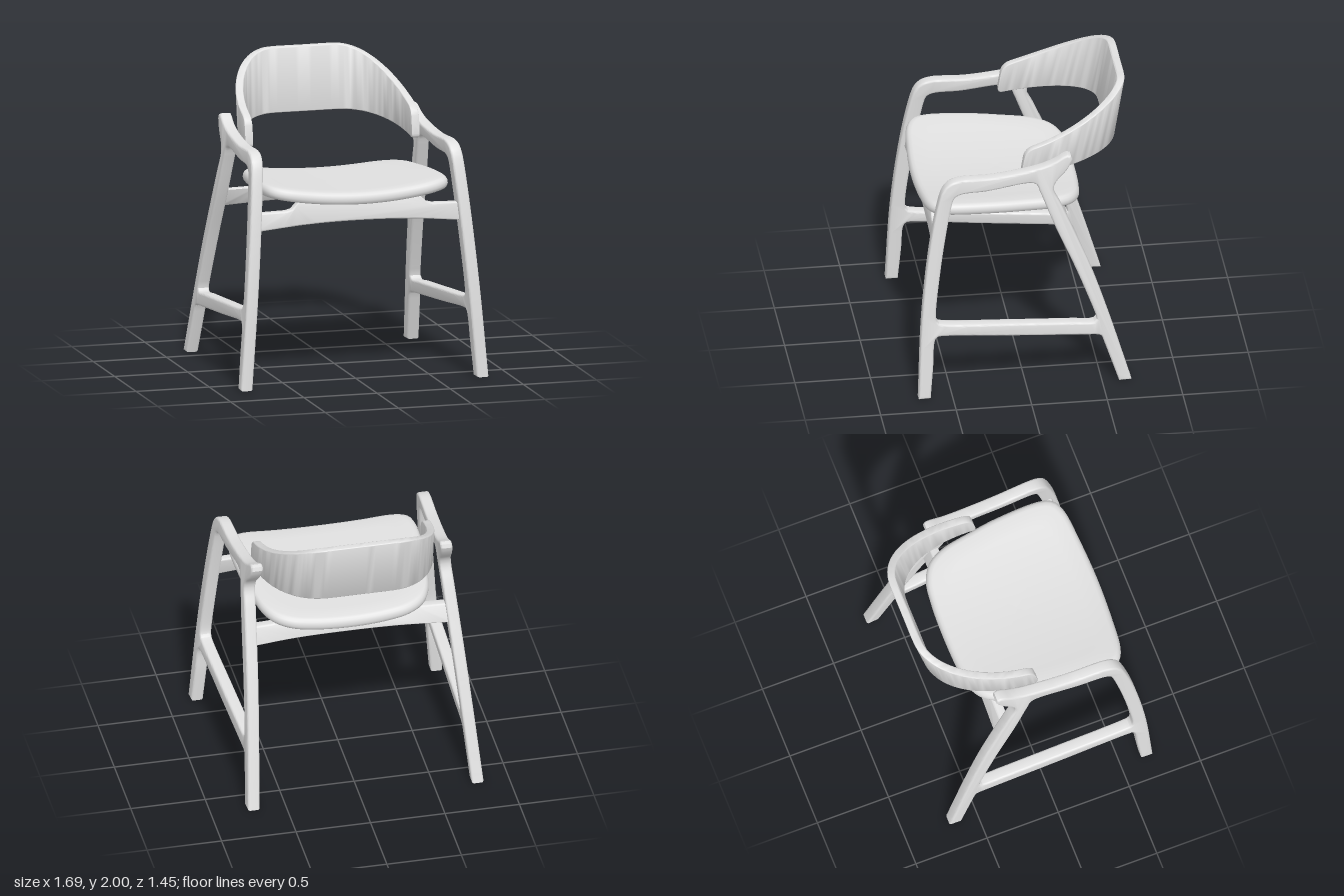
import * as THREE from 'three';
import { toCreasedNormals } from 'three/addons/utils/BufferGeometryUtils.js';

const paleGrey = new THREE.MeshStandardMaterial({ color: 0xe0e0e0 });
paleGrey.name = 'paleGrey';

// smooth run of 2D points through the given ones
function smooth(pts, n, closed = false) {
  const c = new THREE.CatmullRomCurve3(pts.map(([a, b]) => new THREE.Vector3(a, b, 0)), closed, 'centripetal');
  const out = c.getSpacedPoints(n).map(p => new THREE.Vector2(p.x, p.y));
  if (closed) out.pop();
  return out;
}

function part(name, geo, crease = 0.6) {
  const m = new THREE.Mesh(toCreasedNormals(geo, crease), paleGrey);
  m.name = name;
  return m;
}

// skin over a list of closed rings, with both ends capped
function loft(rings) {
  const n = rings[0].length, pos = [], idx = [];
  rings.forEach(r => r.forEach(p => pos.push(p.x, p.y, p.z)));
  for (let i = 0; i < rings.length - 1; i++) for (let j = 0; j < n; j++) {
    const k = (j + 1) % n, a = i * n, b = a + n;
    idx.push(a + j, a + k, b + j, a + k, b + k, b + j);
  }
  [[0, true], [rings.length - 1, false]].forEach(([i, flip]) => {
    const c = new THREE.Vector3();
    rings[i].forEach(p => c.addScaledVector(p, 1 / n));
    const ci = pos.length / 3;
    pos.push(c.x, c.y, c.z);
    for (let j = 0; j < n; j++) {
      const a = i * n + j, b = i * n + (j + 1) % n;
      idx.push(ci, flip ? b : a, flip ? a : b);
    }
  });
  const g = new THREE.BufferGeometry();
  g.setAttribute('position', new THREE.Float32BufferAttribute(pos, 3));
  g.setIndex(idx);
  return g;
}

function extrude(shape, width, bevel) {
  const depth = width - 2 * bevel;
  return new THREE.ExtrudeGeometry(shape, {
    depth, bevelEnabled: true, bevelThickness: bevel, bevelSize: bevel, bevelOffset: -bevel, bevelSegments: 3,
  }).translate(0, 0, -depth / 2);
}

// the leaning planes the two side frames lie in
const frameX = {
  left: (y, z) => 0.76 - 0.08 * y + 0.065 * z,
  right: (y, z) => -0.799 + 0.081 * y - 0.0135 * z,
};

// leg, arm, leg and stretcher in one flat piece, points as [z, y]
function sideFrame(side) {
  const flip = pts => pts.map(([z, y]) => [-z, y]);
  const outer = smooth(flip([[0.725, 0.01], [0.7, 0.545], [0.66, 0.94], [0.61, 1.26], [0.565, 1.45], [0.545, 1.495],
    [0.505, 1.535], [0.44, 1.555], [0.2, 1.553], [-0.1, 1.59], [-0.2, 1.622], [-0.265, 1.658], [-0.3, 1.663],
    [-0.318, 1.64], [-0.312, 1.61], [-0.27, 1.545], [-0.205, 1.475], [-0.192, 1.42], [-0.24, 1.31], [-0.335, 1.085],
    [-0.44, 0.82], [-0.55, 0.49], [-0.695, 0.005]]), 150);
  const under = smooth(flip([[-0.612, 0.005], [-0.51, 0.31], [-0.5, 0.338], [-0.475, 0.349], [-0.4, 0.357], [0.1, 0.404],
    [0.55, 0.448], [0.597, 0.445], [0.615, 0.41], [0.625, 0.25], [0.645, 0.01]]), 80);
  const hole = smooth(flip([[0.603, 0.58], [0.57, 0.915], [0.515, 1.26], [0.485, 1.4], [0.47, 1.435], [0.43, 1.455],
    [0.25, 1.462], [-0.03, 1.49], [-0.075, 1.477], [-0.1, 1.42], [-0.2, 1.155], [-0.335, 0.835], [-0.46, 0.5],
    [-0.47, 0.465], [-0.45, 0.445], [-0.3, 0.456], [0.1, 0.49], [0.55, 0.532], [0.592, 0.545]]), 150, true);
  const shape = new THREE.Shape([...outer, ...under]);
  shape.holes.push(new THREE.Path(hole.reverse()));
  const g = extrude(shape, 0.08, 0.014).rotateY(Math.PI / 2), p = g.attributes.position;
  for (let i = 0; i < p.count; i++) p.setX(i, p.getX(i) + frameX[side](p.getY(i), p.getZ(i)));
  return part(side + 'SideFrame', g);
}

// middle height of the dished seat
const seatMid = (x, z) => 1.22 + 0.037 * (z - 0.1) + 0.06 * (x / 0.6) ** 2;

function seat() {
  const half = [[0.3, 0.652], [0.52, 0.625], [0.598, 0.58], [0.627, 0.5], [0.624, 0.2], [0.6, 0], [0.56, -0.22],
    [0.5, -0.33], [0.4, -0.39], [0.25, -0.412]];
  const mirrored = half.map(([x, z]) => [-x, z]).reverse();
  const outline = smooth([[0, 0.665], ...half, [0, -0.42], ...mirrored], 120, true);
  const profile = [[0.02, -0.04], [0.25, -0.04], [0.5, -0.04], [0.75, -0.04], [0.95, -0.04], [0.978, -0.038],
    [0.992, -0.03], [1, -0.014], [0.998, 0.005], [0.985, 0.022], [0.965, 0.034], [0.93, 0.04], [0.75, 0.04],
    [0.5, 0.04], [0.25, 0.04], [0.02, 0.04]];
  return part('seat', loft(profile.map(([s, h]) => outline.map(p => {
    const x = p.x * s, z = 0.1 + (p.y - 0.1) * s;
    return new THREE.Vector3(x, seatMid(x, z) + h, z);
  }))), 0.8);
}

// arched cross rail with a raised middle that carries the seat, slanted like the legs it joins
function rail(name, z, slant, bottom) {
  const xl = frameX.left(1.11, z), xr = frameX.right(1.11, z);
  const low = smooth([[xr, 1.045], [-0.35, (1.05 + 3 * bottom) / 4], [0, bottom], [0.35, (1.05 + 3 * bottom) / 4], [xl, 1.045]], 30);
  const top = [[xl, 1.165], [0.5, 1.17], [0.46, 1.18], [0.44, 1.2]];
  for (let i = -8; i <= 8; i++) top.push([-i * 0.05, seatMid(i * 0.05, z) - 0.025]);
  top.push([-0.44, 1.2], [-0.46, 1.18], [-0.5, 1.17], [xr, 1.165]);
  const shape = new THREE.Shape([...low, ...top.map(p => new THREE.Vector2(...p))]);
  const g = extrude(shape, 0.06, 0.01), p = g.attributes.position;
  for (let i = 0; i < p.count; i++) p.setZ(i, p.getZ(i) + z + slant * (p.getY(i) - 1.11));
  return part(name, g);
}

// bent band that leans back and grows taller toward the middle
function backrest() {
  const half = [];
  for (let i = 0; i <= 14; i++) {
    const a = i / 14 * Math.PI / 2;
    half.push([0.2 + 0.395 * Math.max(0, Math.cos(a)) ** 0.9, -0.652 * Math.sin(a) ** 0.9]);
  }
  const pts = [...half, [0, -0.652], ...half.map(([x, z]) => [-x, z]).reverse()];
  const curve = new THREE.CatmullRomCurve3(pts.map(([x, z]) => new THREE.Vector3(x - 0.013, 0, z)), false, 'centripetal');
  curve.arcLengthDivisions = 1000;
  const length = curve.getLength(), thick = 0.052, r = 0.009;
  const ends = [0, 0.001, 0.004, 0.009, 0.016, 0.025];
  const steps = [...ends];
  for (let i = 1; i < 70; i++) steps.push(0.025 + 0.95 * i / 70);
  steps.push(...ends.map(t => 1 - t).reverse());
  const rings = steps.map(t => {
    const p = curve.getPointAt(t), tan = curve.getTangentAt(t);
    const d = Math.min(t, 1 - t) * length;
    const round = R => d < R ? R * (1 - Math.sqrt(1 - (1 - d / R) ** 2)) : 0;
    const y0 = 1.48 - 0.146 * p.z + round(0.03);
    const y1 = 1.68 - 0.3 * p.z + 0.2926 * p.z ** 2 - round(0.05);
    const ring = [];
    [[thick - r, y1 - r, 0], [r, y1 - r, 1], [r, y0 + r, 2], [thick - r, y0 + r, 3]].forEach(([a, b, q]) => {
      for (let k = 0; k <= 4; k++) {
        const w = (q + k / 4) * Math.PI / 2, u = a + r * Math.cos(w), y = b + r * Math.sin(w);
        ring.push(new THREE.Vector3(p.x + tan.z * u, y, p.z - tan.x * u - 0.165 * (y - 1.575)));
      }
    });
    return ring;
  });
  return part('backrest', loft(rings), 0.7);
}

export function createModel() {
  const g = new THREE.Group();
  g.name = 'armchair';
  g.add(sideFrame('left'), sideFrame('right'), seat(), backrest());
  g.add(rail('frontRail', 0.575, -0.15, 1.085), rail('rearRail', -0.272, 0.42, 1.07));
  return g;
}
